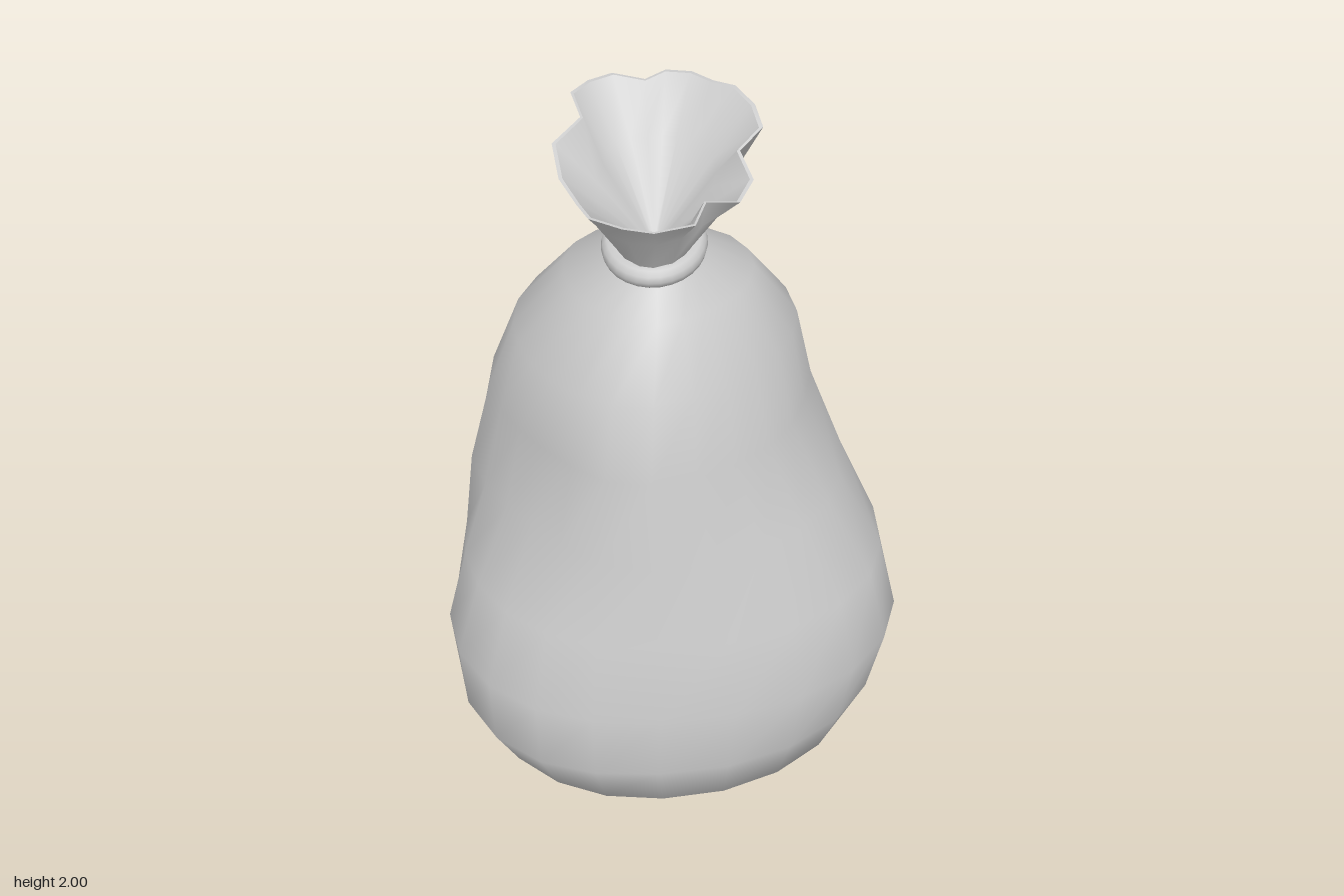
import * as THREE from 'three';

const SEGMENTS = 22;

// Skin closed rings of equal length; rings listed upward face outward.
function loft(rings) {
  const n = rings[0].length, index = [];
  for (let r = 0; r < rings.length - 1; r++) {
    for (let i = 0; i < n; i++) {
      const a = r * n + i, b = r * n + (i + 1) % n;
      index.push(a, a + n, b, b, a + n, b + n);
    }
  }
  const geometry = new THREE.BufferGeometry();
  geometry.setAttribute('position', new THREE.Float32BufferAttribute(rings.flat(2), 3));
  geometry.setIndex(index);
  geometry.computeVertexNormals();
  return geometry;
}

// Lopsided oval: four quarter ellipses around an off-centre point, each
// swollen or hollowed along its diagonal (front left, front right, back right, back left).
function ovalRing([y, x0, x1, z0, z1, cx, cz, swell = [0, 0, 0, 0], tilt = 0]) {
  return Array.from({ length: SEGMENTS }, (_, i) => {
    const t = (i / SEGMENTS) * Math.PI * 2, c = Math.cos(t), s = Math.sin(t);
    const bulge = swell[Math.floor((i * 4) / SEGMENTS)] * Math.abs(Math.sin(2 * t));
    const x = cx + c * ((c > 0 ? x1 - cx : cx - x0) + bulge);
    const z = cz + s * ((s > 0 ? z1 - cz : cz - z0) + bulge);
    return [x, y - tilt * (z - cz), z];
  });
}

export function createModel() {
  const model = new THREE.Group();
  const material = new THREE.MeshStandardMaterial({ color: 0xcccccc, roughness: 0.9 });
  const add = (name, geometry, parent = model) => {
    const mesh = new THREE.Mesh(geometry, material);
    mesh.name = name;
    parent.add(mesh);
    return mesh;
  };

  // Slumped sack, bottom to neck: y, x min, x max, z min, z max, centre x, centre z, swell, tilt
  add('sackBody', loft([
    [0, -0.04, -0.04, 0, 0, -0.04, 0],
    [0.005, -0.38, 0.31, -0.37, 0.37, -0.04, 0],
    [0.03, -0.48, 0.40, -0.455, 0.455, -0.05, 0.01],
    [0.12, -0.60, 0.55, -0.585, 0.595, -0.08, 0.03, [0, 0.01, 0, -0.01]],
    [0.25, -0.64, 0.61, -0.625, 0.627, -0.1, 0.04, [0, 0.04, 0, -0.01]],
    [0.45, -0.66, 0.655, -0.625, 0.627, -0.1, 0.05, [0, 0.035, 0, -0.02]],
    [0.67, -0.62, 0.60, -0.56, 0.577, -0.1, 0.05, [0, 0, 0.02, 0.015]],
    [0.91, -0.59, 0.47, -0.495, 0.535, -0.1, 0.05, [-0.01, -0.08, 0.04, 0.045]],
    [1.16, -0.525, 0.36, -0.445, 0.498, -0.09, 0.05, [-0.025, -0.065, 0.055, 0.06]],
    [1.37, -0.445, 0.32, -0.38, 0.443, -0.08, 0.05, [-0.035, -0.025, 0.04, 0.045]],
    [1.54, -0.30, 0.20, -0.225, 0.322, -0.06, 0.06, [-0.03, -0.025, 0.035, 0.035]],
    [1.62, -0.19, 0.09, -0.085, 0.24, -0.05, 0.08, [0, 0, 0, 0], 0.1],
    [1.68, -0.15, 0.05, -0.04, 0.20, -0.05, 0.08, [0, 0, 0, 0], 0.15],
  ].map(ovalRing)));

  // Tie around the neck, tilted toward the front
  const tie = new THREE.TorusGeometry(0.122, 0.033, 12, 28);
  tie.rotateX(Math.PI / 2).scale(0.905, 0.95, 1.1);
  const tieMesh = add('neckTie', tie);
  tieMesh.position.set(-0.052, 1.657, 0.085);
  tieMesh.rotation.x = 0.16;

  // Scalloped rim of the gathered opening, as x and z pairs
  const rimPlan = [
    [-0.05, -0.24], [0.02, -0.235], [0.08, -0.19], [0.14, -0.17], [0.195, -0.1],
    [0.22, -0.03], [0.165, 0.04], [0.205, 0.12], [0.175, 0.19], [0.09, 0.195],
    [0.07, 0.28], [-0.03, 0.325], [-0.11, 0.31], [-0.2, 0.27], [-0.235, 0.22],
    [-0.29, 0.14], [-0.32, 0.04], [-0.255, -0.04], [-0.29, -0.12], [-0.25, -0.17],
    [-0.19, -0.21], [-0.1, -0.185],
  ];
  const CX = -0.05, CZ = 0.085;
  const rimHeight = (z) => 1.908 + 0.092 * Math.cos(Math.PI * (z + 0.24) / 0.565);
  const rimRing = (scale) => rimPlan.map(([x, z]) =>
    [CX + (x - CX) * scale, rimHeight(z), CZ + (z - CZ) * scale]);
  const throatRing = (y, rx, rz) => rimPlan.map(([x, z]) => {
    const t = Math.atan2(z - CZ, x - CX), dz = Math.sin(t) * rz;
    return [CX + Math.cos(t) * rx, y - 0.15 * dz, CZ + dz];
  });
  // Ring part way from throat to rim, with the pleats softened by averaging neighbours
  const pleatRing = (throat, rim, f) => rim.map((p, i) => p.map((v, k) => {
    const n = rim.length, smooth = (rim[(i + 1) % n][k] + rim[(i + n - 1) % n][k]) / 2;
    return throat[i][k] * (1 - f) + ((v + smooth) / 2) * f;
  }));

  // Flared ruffle: outer wall, thin lip and inner funnel
  const outerRim = rimRing(1), innerRim = rimRing(0.96);
  const neck = throatRing(1.69, 0.108, 0.148), funnel = throatRing(1.67, 0.028, 0.043);
  const ruffle = new THREE.Group();
  ruffle.name = 'ruffle';
  model.add(ruffle);
  add('ruffleOuter', loft([throatRing(1.66, 0.098, 0.125), neck, pleatRing(neck, outerRim, 0.6), outerRim]), ruffle);
  add('ruffleLip', loft([outerRim, innerRim]), ruffle);
  add('ruffleInner', loft([innerRim, pleatRing(funnel, innerRim, 0.6), funnel,
    throatRing(1.64, 0.026, 0.04), throatRing(1.64, 0, 0)]), ruffle);
  return model;
}
